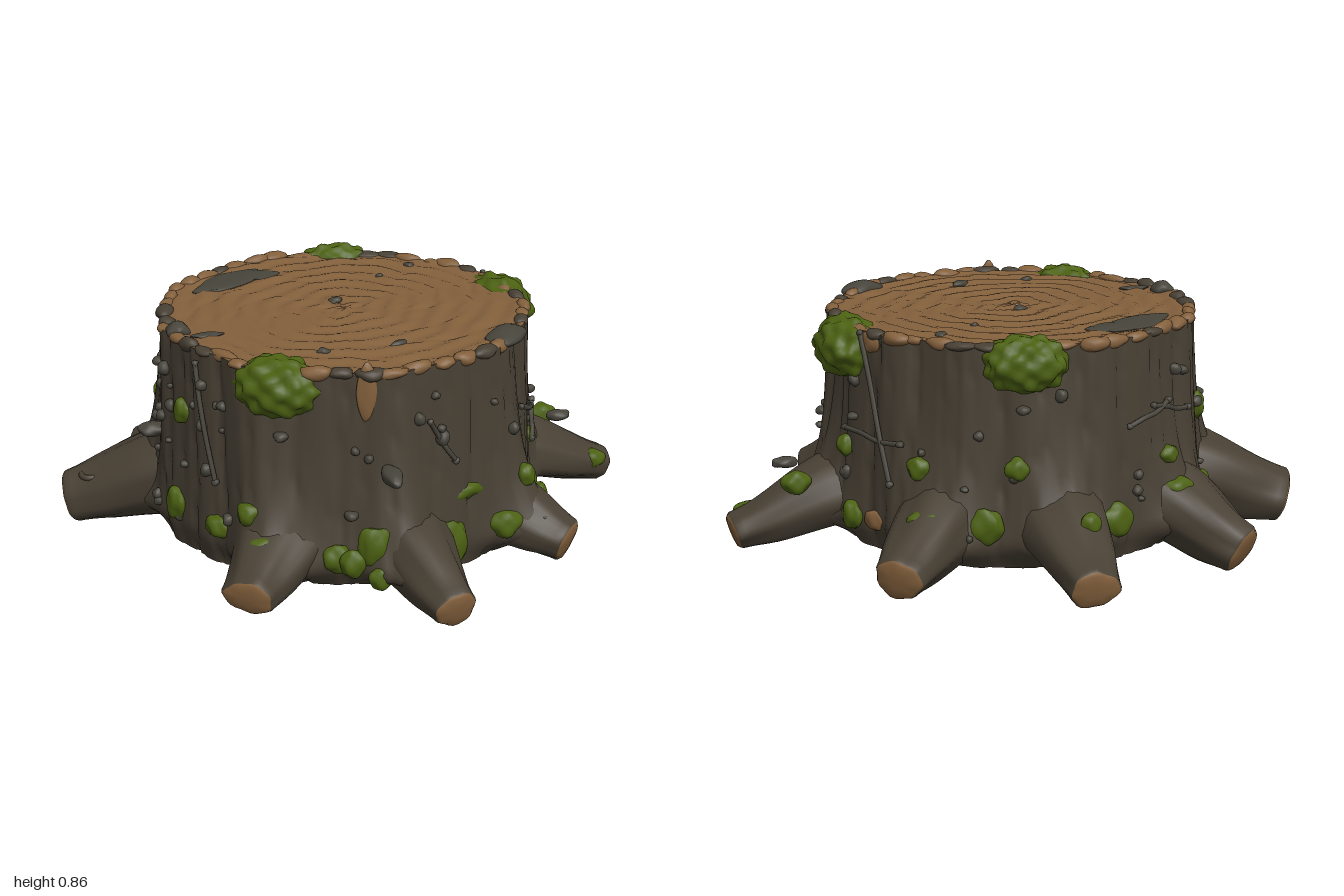
import * as THREE from 'three';
import { mergeVertices } from 'three/addons/utils/BufferGeometryUtils.js';

const { sin, cos, exp, PI, abs, atan2 } = Math;
const V = (x, y, z) => new THREE.Vector3(x, y, z);
const CX = -0.03, CZ = 0.02, TOP = 0.845, BASE = 0.09;

// Roots: tip x, y, z, half width, half height, sideways bend at the base
const ROOTS = [
  [0.1, 0.14, 0.97, 0.075, 0.07, -0.1],
  [0.61, 0.14, 0.59, 0.08, 0.075, 0],
  [0.98, 0.12, -0.06, 0.085, 0.065, 0],
  [0.55, 0.15, -0.76, 0.085, 0.075, 0],
  [-0.03, 0.14, -0.98, 0.085, 0.07, 0],
  [-0.66, 0.1, -0.64, 0.095, 0.085, 0],
  [-0.98, 0.13, -0.21, 0.105, 0.095, 0.05],
  [-0.53, 0.16, 0.77, 0.09, 0.065, 0],
];
const rootAngle = (r) => atan2(r[0] - CX, r[2] - CZ) + r[5];

let seed = 7;
const rnd = () => (seed = (seed * 16807) % 2147483647) / 2147483647;

const mat = (name, color, side = THREE.FrontSide) => {
  const m = new THREE.MeshStandardMaterial({ color, side });
  m.name = name;
  return m;
};

// Skin closed rings of points with smooth shared normals
function loft(rings) {
  const n = rings[0].length, index = [];
  for (let i = 0; i < rings.length - 1; i++)
    for (let j = 0; j < n; j++) {
      const k = (j + 1) % n, a = i * n + j, b = i * n + k;
      index.push(a, b, a + n, b, b + n, a + n);
    }
  const g = new THREE.BufferGeometry().setFromPoints(rings.flat());
  g.setIndex(index);
  g.computeVertexNormals();
  return g;
}

// Trunk radius: flares over each root, with vertical folds in the bark
function trunkRadius(a, y) {
  let flare = 0;
  for (const r of ROOTS) {
    const d = atan2(sin(a - rootAngle(r)), cos(a - rootAngle(r)));
    flare += exp(-((d / 0.2) ** 2));
  }
  const lift = THREE.MathUtils.smoothstep(y, 0.08, 0.2);
  const folds = 0.009 * sin(9 * a + 1 + y) + 0.007 * sin(17 * a + 2 * y)
    - 0.016 * (1 - abs(sin(13.5 * a + 0.5 * sin(5 * y + 3 * a)))) ** 6
    - 0.01 * (1 - abs(sin(20 * a + 0.4 * sin(8 * y)))) ** 6;
  return 0.635 + 0.03 * lift * (1 - y) + 0.3 * flare * lift * exp(-(y - 0.1) / 0.16) + folds;
}
const onTrunk = (a, y, out = 0) => {
  const r = trunkRadius(a, y) + out;
  return V(CX + r * sin(a), y, CZ + r * cos(a));
};

const ring = (n, f) => Array.from({ length: n }, (_, j) => f((j / n) * 2 * PI));

function trunkGeometry() {
  const rings = [];
  for (let i = 0; i <= 30; i++) {
    const y = BASE + (i / 30) * (TOP - BASE);
    rings.push(ring(216, (a) => onTrunk(a, y)));
  }
  return loft(rings);
}

// Cut face with shallow year rings and splits
function cutTop() {
  const rings = [];
  for (let i = 0; i <= 48; i++) {
    const t = 1 - i / 48;
    rings.push(ring(120, (a) => {
      const r = t * trunkRadius(a, TOP);
      const grain = 0.004 * sin(48 * t + 1.5 * sin(2 * a) + sin(5 * a + 4 * t));
      const split = 0.006 * Math.max(0, sin(7 * a + 6 * sin(5 * t))) ** 12 * t;
      return V(CX + r * sin(a), TOP + (t < 0.97 && t > 0.02 ? grain - split : 0), CZ + r * cos(a));
    }));
  }
  return loft(rings);
}

// Lumpy ball, scaled to its half sizes
function blobGeometry(size, rough = 0.08, freq = 4, detail = 4) {
  let g = new THREE.IcosahedronGeometry(1, detail);
  g.deleteAttribute('normal');
  g.deleteAttribute('uv');
  g = mergeVertices(g);
  const p = g.attributes.position, v = V(0, 0, 0), s = rnd() * 9;
  for (let i = 0; i < p.count; i++) {
    v.fromBufferAttribute(p, i);
    const k = sin(freq * v.x + s) * sin(freq * v.y + 2 * s) + sin(freq * 1.3 * v.z - s) * cos(freq * v.x);
    v.multiplyScalar(1 + rough * k).multiply(V(...size));
    p.setXYZ(i, v.x, v.y, v.z);
  }
  g.computeVertexNormals();
  return g;
}

export function createModel() {
  const bark = mat('bark', 0x484034);
  const wood = mat('cut wood', 0x83603c);
  const moss = mat('moss', 0x4c6112);
  const grey = mat('grey bark', 0x47443b);
  const model = new THREE.Group();
  model.name = 'treeStump';

  const add = (name, geo, m, pos = V(0, 0, 0), turn = 0) => {
    const mesh = new THREE.Mesh(geo, m);
    mesh.name = name;
    mesh.position.copy(pos);
    mesh.rotation.y = turn;
    model.add(mesh);
    return mesh;
  };

  add('trunk', trunkGeometry(), bark);
  add('cutTop', cutTop(), wood);
  add('underside', loft([0, 0.5, 1].map((t) => ring(216, (a) => {
    const r = trunkRadius(a, BASE) * t;
    return V(CX + r * sin(a), BASE, CZ + r * cos(a));
  }))), wood);

  // Roots: tapering lofts with a rounded cut end
  for (const r of ROOTS) {
    const a = rootAngle(r), tip = V(r[0], r[1], r[2]);
    const start = V(CX + 0.4 * sin(a), 0.3, CZ + 0.4 * cos(a));
    const at = (t, y) => start.clone().lerp(tip, t).setY(y);
    const curve = new THREE.CatmullRomCurve3([start, at(0.5, 0.225), at(0.8, r[1] * 0.6 + 0.085), tip]);
    const section = (t, scale, push) => {
      const c = curve.getPoint(t), f = curve.getTangent(t);
      const side = V(0, 1, 0).cross(f).normalize(), up = f.clone().cross(side);
      c.addScaledVector(f, push);
      const k = (1 - t) ** 1.3, w = (r[3] + 0.1 * k) * scale, h = (r[4] + 0.09 * k) * scale;
      return ring(28, (q) => {
        const b = 1 + 0.05 * sin(3 * q + 5 * t + a) + 0.035 * sin(7 * q + a);
        return c.clone().addScaledVector(side, w * b * cos(q)).addScaledVector(up, h * b * sin(q));
      });
    };
    const rings = [];
    for (let i = 0; i <= 16; i++) rings.push(section(i / 16, 1, 0));
    rings.push(section(1, 0.93, 0.008));
    add('root', loft(rings), bark);
    add('rootEnd', loft([[0.93, 0.008], [0.8, 0.016], [0.4, 0.02], [0, 0.02]].map(([s, p]) => section(1, s, p))), wood);
  }

  // Rim of broken wood and bark chips round the cut
  for (let i = 0; i < 46; i++) {
    const a = (i / 46) * 2 * PI + 0.05 * rnd();
    const size = [0.035 + 0.025 * rnd(), 0.014 + 0.012 * rnd(), 0.022 + 0.012 * rnd()];
    add('rimChip', blobGeometry(size, 0.1, 3, 2), rnd() < 0.68 ? wood : bark, onTrunk(a, TOP - 0.005, -0.015), a);
  }
  add('rimKnob', blobGeometry([0.09, 0.03, 0.06], 0.08, 3), grey, V(0.43, 0.845, 0.43), 0.78);
  add('rimKnob', blobGeometry([0.04, 0.03, 0.04]), grey, V(-0.63, 0.85, 0.12));
  add('bareWood', blobGeometry([0.035, 0.1, 0.015], 0.1, 3), wood, onTrunk(-0.12, 0.78, -0.005), -0.12);
  add('bareWood', blobGeometry([0.05, 0.035, 0.015]), wood, onTrunk(2.05, 0.81), 2.05);
  add('bareWood', blobGeometry([0.045, 0.035, 0.015]), wood, onTrunk(2.1, 0.2), 2.1);

  // Grey patches and bumps on the cut face
  const topBumps = [[-0.37, -0.36, 0.17, 0.065, 0.65], [-0.25, -0.41, 0.08, 0.05, 0.3], [-0.54, 0.18, 0.05, 0.022, 0],
    [-0.04, -0.06, 0.025, 0.02, 0], [0.06, 0.42, 0.035, 0.018, 0.5], [-0.2, 0.43, 0.02, 0.015, 0],
    [0.32, -0.38, 0.02, 0.02, 0], [0.18, -0.28, 0.012, 0.01, 0]];
  for (const [x, z, w, d, turn] of topBumps)
    add('topPatch', blobGeometry([w, w > 0.04 ? 0.009 : 0.014, d], 0.12, 3), grey, V(x, TOP, z), turn);

  // Large moss cushions on the rim
  add('mossCushion', blobGeometry([0.15, 0.1, 0.1], 0.07, 9, 9), moss, V(-0.37, 0.775, 0.52), -0.55);
  add('mossCushion', blobGeometry([0.155, 0.105, 0.11], 0.07, 9, 9), moss, V(0.58, 0.765, -0.11), 1.75);
  add('mossCushion', blobGeometry([0.135, 0.095, 0.085], 0.07, 9, 9), moss, V(0.09, 0.785, -0.6), 3);

  // Moss pads on the trunk: angle, height, half width, half height
  const pads = [[-1.25, 0.6, 0.04, 0.045], [-0.1, 0.27, 0.055, 0.07], [-0.28, 0.21, 0.05, 0.05], [0.33, 0.2, 0.065, 0.09],
    [0.47, 0.37, 0.07, 0.035], [1.18, 0.21, 0.11, 0.05], [1.0, 0.22, 0.05, 0.06], [1.85, 0.43, 0.035, 0.04],
    [0.8, 0.37, 0.035, 0.04], [1.95, 0.2, 0.05, 0.05], [2.75, 0.25, 0.06, 0.06], [2.9, 0.44, 0.04, 0.04],
    [3.4, 0.24, 0.06, 0.06], [2.4, 0.42, 0.04, 0.04], [-2.1, 0.24, 0.045, 0.05], [-2.5, 0.42, 0.04, 0.03],
    [-1.3, 0.25, 0.05, 0.06], [-0.7, 0.35, 0.04, 0.04], [-0.95, 0.24, 0.05, 0.04], [-1.95, 0.5, 0.045, 0.05],
    [1.35, 0.36, 0.03, 0.03]];
  for (const [a, y, w, h] of pads) add('mossPad', blobGeometry([w, h, 0.032], 0.1, 4), moss, onTrunk(a, y, -0.002), a);

  // Moss lying on the roots
  const rootMoss = [[-0.81, 0.255, -0.2, 0.08, 0.03], [0.93, 0.165, 0.01, 0.05, 0.035], [0.78, 0.3, -0.14, 0.05, 0.04],
    [-0.07, 0.29, -0.8, 0.035, 0.04], [0.41, 0.27, -0.6, 0.08, 0.05], [0.09, 0.235, 0.83, 0.04, 0.025],
    [-0.46, 0.3, -0.53, 0.06, 0.04], [-0.17, 0.21, 0.72, 0.045, 0.05], [-0.09, 0.17, 0.77, 0.04, 0.04],
    [-0.45, 0.27, 0.64, 0.05, 0.03], [0.4, 0.22, 0.57, 0.06, 0.05]];
  for (const [x, y, z, w, h] of rootMoss) add('rootMoss', blobGeometry([w, h, w * 0.75]), moss, V(x, y, z));

  // Bark knots and pebble-like nubs
  for (let i = 0; i < 64; i++) {
    const a = i < 20 ? -1.6 + 0.7 * rnd() : rnd() * 2 * PI, y = 0.2 + 0.55 * rnd(), s = 0.01 + 0.014 * rnd();
    add('barkNub', blobGeometry([s, s * (0.7 + 0.5 * rnd()), s], 0.1, 3, 2), grey, onTrunk(a, y, 0.004), a);
  }
  add('shelfFungus', blobGeometry([0.032, 0.026, 0.075]), grey, V(-0.05, 0.52, 0.745));
  add('shelfFungus', blobGeometry([0.05, 0.025, 0.04]), grey, V(-0.72, 0.47, 0.05));
  add('shelfFungus', blobGeometry([0.045, 0.02, 0.03]), grey, V(0.8, 0.34, -0.02));
  const knot = add('rootKnot', new THREE.TorusGeometry(0.035, 0.011, 8, 20), bark, V(-0.92, 0.232, -0.15));
  knot.rotation.x = PI / 2;

  // Dead twigs and vines clinging to the bark: start angle, height, end angle, height
  const twigs = [[0.85, 0.6, 1.18, 0.51], [1.15, 0.4, 1.35, 0.49], [1.88, 0.5, 2.3, 0.49], [2.0, 0.84, 2.25, 0.35],
    [0.2, 0.66, 0.35, 0.5], [-2.6, 0.6, -2.3, 0.55], [3.5, 0.55, 3.8, 0.6], [-1.1, 0.8, -0.95, 0.4]];
  for (const [a, y, b, z] of twigs) {
    const pts = [0, 0.33, 0.66, 1].map((t) => onTrunk(a + (b - a) * t, y + (z - y) * t + 0.012 * sin(9 * t), 0.016));
    add('twig', new THREE.TubeGeometry(new THREE.CatmullRomCurve3(pts), 16, 0.009, 7), grey);
    add('twigEnd', blobGeometry([0.014, 0.012, 0.014], 0.1, 3, 2), grey, pts[3]);
    add('twigEnd', blobGeometry([0.011, 0.011, 0.011], 0.1, 3, 2), grey, pts[0]);
  }
  return model;
}
